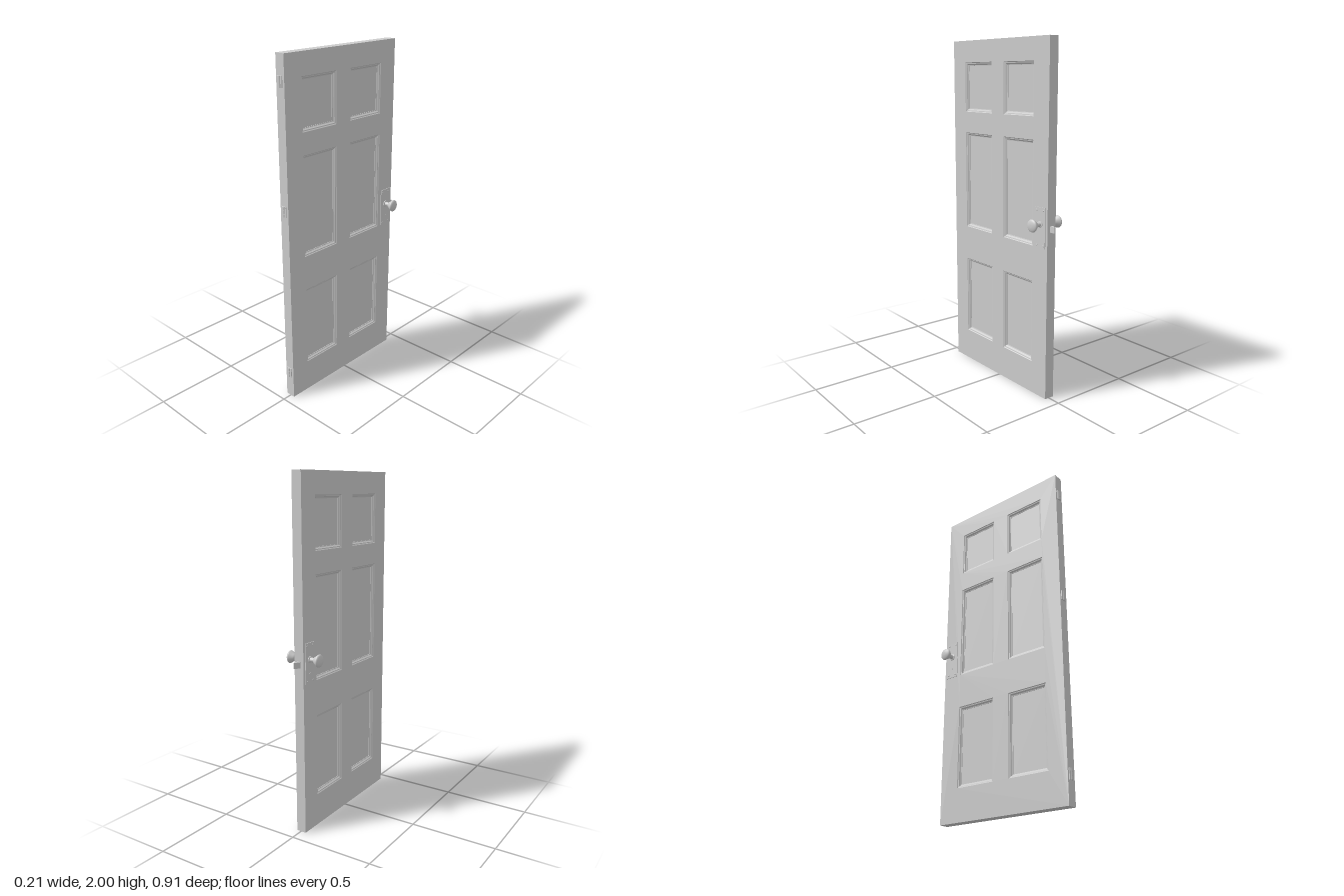
import * as THREE from 'three';

const mat = new THREE.MeshStandardMaterial({ color: 0xcccccc });

// Slab limits
const X0 = -0.032, X1 = 0.027, Z0 = -0.42, Z1 = 0.443, H = 2;

// Inner panel field: centre z, width, and bottom / top heights
const COLUMNS = [0.198, -0.17], FIELD_W = 0.218, MARGIN = 0.02;
const ROWS = [[0.21, 0.65], [0.895, 1.44], [1.605, 1.855]];

// Moulding section: inset from the opening edge, depth below the face
const MOULDING = [[0, 0], [0.004, 0.004], [0.009, 0.005], [0.012, 0.009], [0.016, 0.013], [0.02, 0.014], [0.02, 0.017]];

function add(parent, name, geometry, x = 0, y = 0, z = 0) {
  const mesh = new THREE.Mesh(geometry, mat);
  mesh.name = name;
  mesh.position.set(x, y, z);
  parent.add(mesh);
  return mesh;
}

// Nested rectangles stepping inwards, closed by the flat field; faces +z
function panelGeometry(w, h) {
  const pos = [];
  const ring = ([inset, depth]) => {
    const a = w / 2 - inset, b = h / 2 - inset;
    return [[-a, -b, -depth], [a, -b, -depth], [a, b, -depth], [-a, b, -depth]];
  };
  const quad = (a, b, c, d) => pos.push(...a, ...b, ...c, ...a, ...c, ...d);
  for (let i = 0; i < MOULDING.length - 1; i++) {
    const o = ring(MOULDING[i]), n = ring(MOULDING[i + 1]);
    for (let k = 0; k < 4; k++) quad(o[k], o[(k + 1) % 4], n[(k + 1) % 4], n[k]);
  }
  quad(...ring(MOULDING[MOULDING.length - 1]));
  const g = new THREE.BufferGeometry();
  g.setAttribute('position', new THREE.Float32BufferAttribute(pos, 3));
  g.computeVertexNormals();
  return g;
}

function rectangle(path, x0, y0, x1, y1) {
  path.moveTo(x0, y0);
  path.lineTo(x1, y0);
  path.lineTo(x1, y1);
  path.lineTo(x0, y1);
  path.closePath();
  return path;
}

// Door leaf with six openings, and a moulded panel in each from both sides
function buildLeaf() {
  const leaf = new THREE.Group();
  leaf.name = 'doorLeaf';
  const shape = rectangle(new THREE.Shape(), -Z1, 0, -Z0, H);
  const w = FIELD_W + 2 * MARGIN;
  for (const cz of COLUMNS) {
    for (const [y0, y1] of ROWS) {
      shape.holes.push(rectangle(new THREE.Path(), -cz - w / 2, y0 - MARGIN, -cz + w / 2, y1 + MARGIN));
      const g = panelGeometry(w, y1 - y0 + 2 * MARGIN);
      for (const s of [1, -1]) {
        const panel = add(leaf, 'panel', g, s > 0 ? X1 : X0, (y0 + y1) / 2, cz);
        panel.rotation.y = s * Math.PI / 2;
      }
    }
  }
  const frame = add(leaf, 'frame', new THREE.ExtrudeGeometry(shape, { depth: X1 - X0, bevelEnabled: false }), X0);
  frame.rotation.y = Math.PI / 2;
  return leaf;
}

// Handle set built along +z, origin on the door face at knob height
function buildHandle(tilt) {
  const handle = new THREE.Group();
  handle.name = 'handle';
  add(handle, 'backPlate', new THREE.BoxGeometry(0.08, 0.228, 0.008), 0, -0.02, 0);
  const screw = new THREE.SphereGeometry(0.005, 12, 6, 0, Math.PI * 2, 0, Math.PI / 2).rotateX(Math.PI / 2).scale(1, 1, 0.6);
  for (const x of [-0.026, 0.026])
    for (const y of [0.078, -0.118]) add(handle, 'screw', screw, x, y, 0.004);
  add(handle, 'keyhole', new THREE.CylinderGeometry(0.006, 0.006, 0.003, 16).rotateX(Math.PI / 2), 0, -0.077, 0.004);

  // Flared knob on a thin neck
  const neck = [[0, 0], [0.019, 0], [0.019, 0.008], [0.0125, 0.01], [0.0125, 0.032]];
  const flare = new THREE.SplineCurve([
    [0.0125, 0.032], [0.018, 0.036], [0.025, 0.046], [0.032, 0.056], [0.0355, 0.062],
    [0.034, 0.068], [0.026, 0.073], [0.012, 0.0765], [0, 0.077],
  ].map((p) => new THREE.Vector2(...p))).getPoints(28);
  flare[flare.length - 1].x = 0;
  const knob = new THREE.Group();
  knob.name = 'knob';
  knob.rotation.y = tilt;
  add(knob, 'knobHead', new THREE.LatheGeometry(flare, 32).rotateX(Math.PI / 2));
  for (let i = 0; i < neck.length - 1; i++) {
    const pts = [neck[i], neck[i + 1]].map((p) => new THREE.Vector2(...p));
    // Separate bands keep the collar edges sharp
    add(knob, 'neck', new THREE.LatheGeometry(pts, 32).rotateX(Math.PI / 2));
  }
  handle.add(knob);
  return handle;
}

// Leaf plate and knuckled barrel on the hinge edge
function buildHinge(y) {
  const hinge = new THREE.Group();
  hinge.name = 'hinge';
  hinge.position.set(-0.005, y, Z1);
  add(hinge, 'hingePlate', new THREE.BoxGeometry(0.036, 0.06, 0.01));
  for (const dy of [-0.02, 0, 0.02])
    add(hinge, 'knuckle', new THREE.CylinderGeometry(0.0085, 0.0085, 0.019, 16), 0, dy, 0.002);
  return hinge;
}

export function createModel() {
  const door = new THREE.Group();
  door.name = 'door';
  door.add(buildLeaf());

  for (const s of [1, -1]) {
    const handle = buildHandle(s > 0 ? 0.06 : 0);
    handle.position.set(s > 0 ? X1 : X0, 1.007, -0.364);
    handle.rotation.y = s * Math.PI / 2;
    door.add(handle);
  }

  for (const y of [0.16, 1.17, 1.86]) door.add(buildHinge(y));

  // Bevelled latch bolt
  const bolt = new THREE.Shape();
  bolt.moveTo(-0.012, -0.01);
  bolt.lineTo(0.008, -0.01);
  bolt.lineTo(0.008, 0.036);
  bolt.lineTo(0.005, 0.036);
  bolt.lineTo(-0.012, 0.004);
  bolt.closePath();
  const latch = add(door, 'latchBolt', new THREE.ExtrudeGeometry(bolt, { depth: 0.034, bevelEnabled: false }), 0, 0.968, Z0);
  latch.rotation.x = -Math.PI / 2;
  return door;
}
